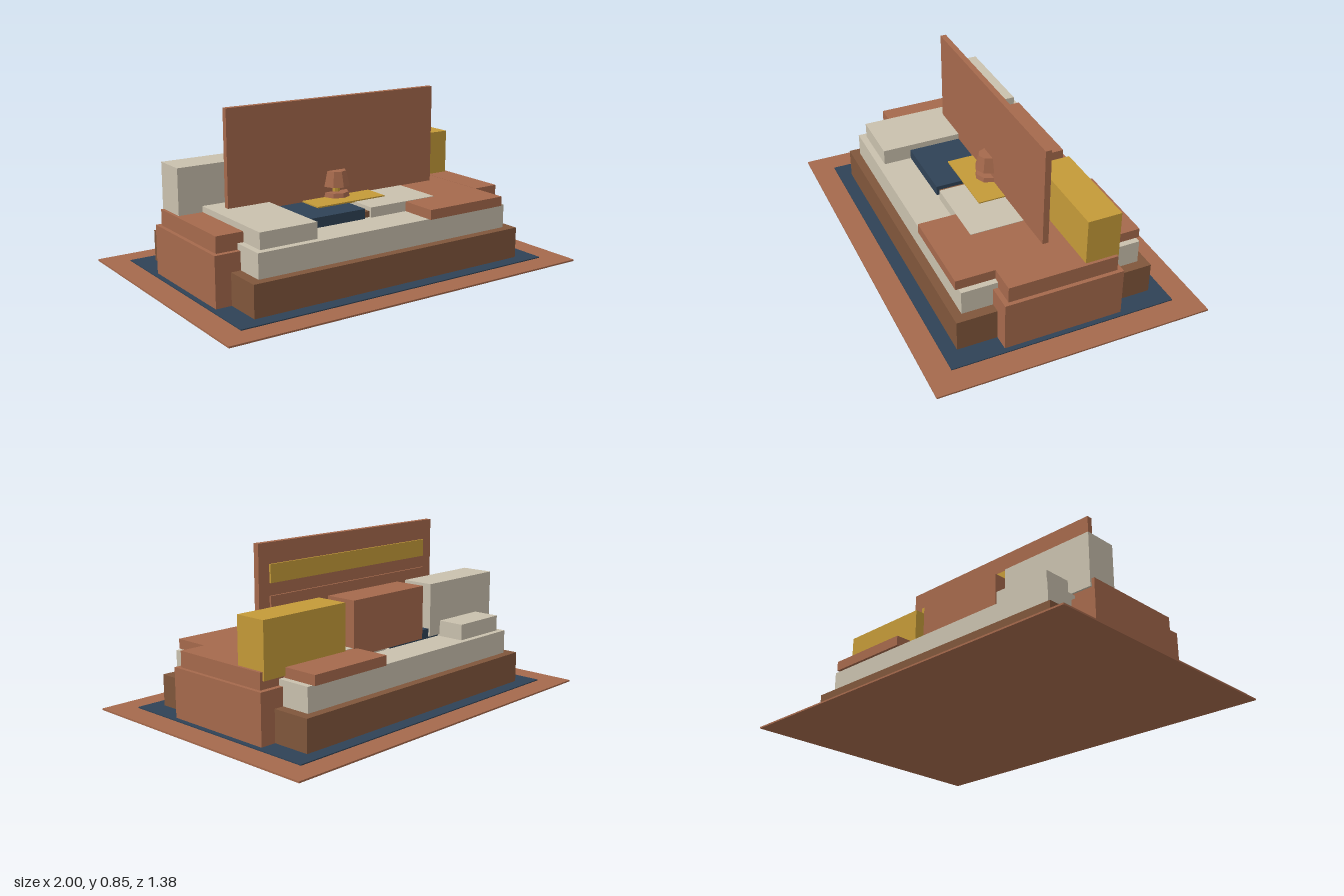
import * as THREE from 'three';

const paint = (name, color) => {
  const m = new THREE.MeshStandardMaterial({ color });
  m.name = name;
  return m;
};

export function createModel() {
  const terracotta = paint('terracotta', 0xa5694c);
  const brown = paint('walnut brown', 0x80563b);
  const cream = paint('cream', 0xc9c0ad);
  const navy = paint('navy', 0x2f4256);
  const gold = paint('gold', 0xc49a38);
  const model = new THREE.Group();
  model.name = 'sofaSet';

  // Box given by its limits on each axis
  const box = (name, mat, [x0, x1], [y0, y1], [z0, z1], parent = model) => {
    const mesh = new THREE.Mesh(new THREE.BoxGeometry(x1 - x0, y1 - y0, z1 - z0), mat);
    mesh.position.set((x0 + x1) / 2, (y0 + y1) / 2, (z0 + z1) / 2);
    mesh.name = name;
    parent.add(mesh);
  };

  // Rug with a coloured field
  box('rugBorder', terracotta, [-1, 1], [0, 0.008], [-0.69, 0.69]);
  box('rugField', navy, [-0.875, 0.875], [0.004, 0.013], [-0.57, 0.57]);

  // Plinth and mattress
  box('plinth', brown, [-0.77, 0.77], [0.01, 0.17], [-0.5, 0.5]);
  box('mattress', cream, [-0.72, 0.72], [0.17, 0.29], [-0.455, 0.455]);

  // Stepped arms at both ends
  for (const [side, s] of [['left', 1], ['right', -1]]) {
    const span = (a, b) => (s > 0 ? [a, b] : [-b, -a]);
    box(side + 'ArmBase', terracotta, span(0.69, 0.85), [0.01, 0.26], [-0.3, 0.3]);
    box(side + 'ArmTop', terracotta, span(0.69, 0.83), [0.26, 0.34], [-0.275, 0.275]);
  }

  // Things laid on the mattress
  box('longPillow', cream, [-0.69, -0.39], [0.29, 0.37], [-0.425, 0.42]);
  box('throwBlanket', terracotta, [0.23, 0.69], [0.29, 0.339], [-0.47, 0.47]);
  box('navyCushion', navy, [-0.39, -0.018], [0.29, 0.34], [-0.275, 0.275]);
  box('creamCushion', cream, [0.018, 0.41], [0.29, 0.341], [-0.275, 0.275]);
  box('centreRail', brown, [-0.018, 0.018], [0.29, 0.32], [-0.26, 0.26]);
  box('tableMat', gold, [-0.2, 0.2], [0.338, 0.347], [-0.14, 0.14]);

  // Row of back cushions
  [[cream, -0.815, -0.31], [terracotta, -0.25, 0.25], [gold, 0.31, 0.815]].forEach(([mat, a, b], i) =>
    box('backCushion' + (i + 1), mat, [a, b], [0.3, 0.57], [-0.285, -0.115]));

  // Upright panel with two slats on its rear face
  const screen = new THREE.Group();
  screen.name = 'screen';
  model.add(screen);
  box('panel', terracotta, [-0.615, 0.61], [0.34, 0.848], [-0.03, 0], screen);
  box('upperSlat', gold, [-0.545, 0.545], [0.66, 0.748], [-0.04, -0.03], screen);
  box('lowerSlat', terracotta, [-0.545, 0.545], [0.52, 0.6], [-0.04, -0.03], screen);

  // Octagonal lamp
  const lamp = new THREE.Group();
  lamp.name = 'lamp';
  model.add(lamp);
  const tier = (name, mat, rTop, rBottom, y0, y1) => {
    const geo = new THREE.CylinderGeometry(rTop, rBottom, y1 - y0, 8).toNonIndexed();
    geo.computeVertexNormals();
    const mesh = new THREE.Mesh(geo, mat);
    mesh.position.y = (y0 + y1) / 2;
    mesh.name = name;
    lamp.add(mesh);
  };
  tier('lampBase', terracotta, 0.065, 0.07, 0.346, 0.37);
  tier('lampStem', gold, 0.02, 0.02, 0.37, 0.405);
  tier('lampShade', terracotta, 0.052, 0.07, 0.4, 0.478);

  return model;
}
